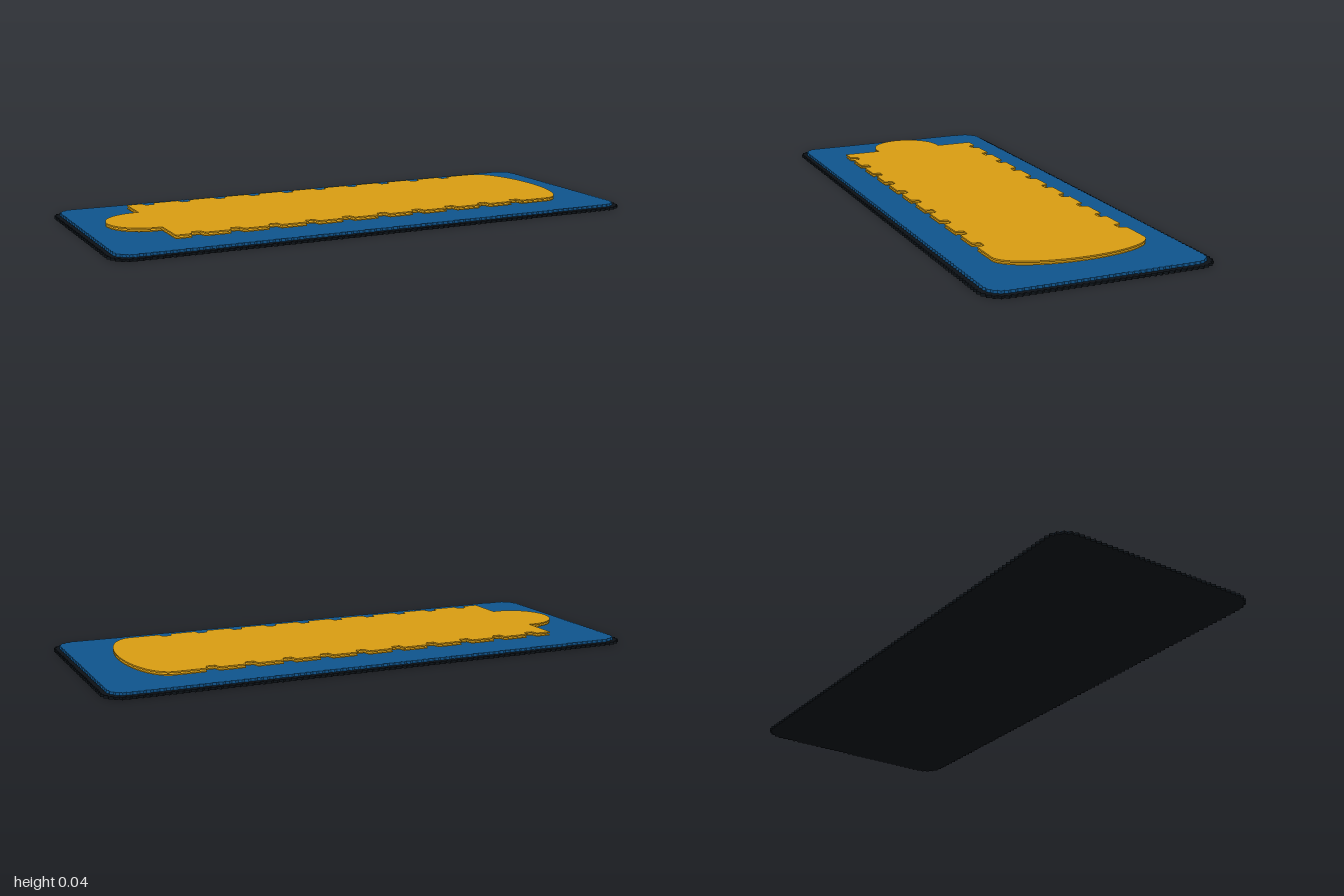
import * as THREE from 'three';

// Flat outline in x/z raised into a sheet between two heights
function sheet(name, shape, bottom, top, color) {
  const geometry = new THREE.ExtrudeGeometry(shape, {
    depth: top - bottom, bevelEnabled: false, curveSegments: 32,
  });
  geometry.rotateX(-Math.PI / 2);
  geometry.translate(0, bottom, 0);
  const mesh = new THREE.Mesh(geometry, new THREE.MeshStandardMaterial({ color }));
  mesh.name = name;
  return mesh;
}

// Rounded rectangle whose rim ripples like a stitched edge
function rippledRectangle(halfX, halfZ, radius, ripple, waves) {
  const x = halfX - ripple, z = halfZ - ripple, r = radius;
  const base = new THREE.Shape();
  base.absarc(x - r, z - r, r, 0, Math.PI / 2);
  base.absarc(-x + r, z - r, r, Math.PI / 2, Math.PI);
  base.absarc(-x + r, -z + r, r, Math.PI, Math.PI * 1.5);
  base.absarc(x - r, -z + r, r, Math.PI * 1.5, Math.PI * 2);
  base.closePath();
  const count = waves * 4;
  const points = [];
  for (let i = 0; i < count; i++) {
    const u = i / count;
    const p = base.getPointAt(u), t = base.getTangentAt(u);
    const d = ripple * Math.sin(u * waves * Math.PI * 2);
    points.push(new THREE.Vector2(p.x + t.y * d, p.y - t.x * d));
  }
  return new THREE.Shape(points);
}

// Long body with a notched pair of sides, a round head and a bowed tail
function figureOutline() {
  const half = 0.278, depth = 0.028;
  const notches = Array.from({ length: 10 }, (_, i) => -0.665 + i * 0.14);
  const s = new THREE.Shape();
  s.moveTo(-0.745, -half);
  for (const x of notches) {
    s.lineTo(x - 0.023, -half);
    s.lineTo(x - 0.016, -half + depth);
    s.lineTo(x + 0.016, -half + depth);
    s.lineTo(x + 0.023, -half);
  }
  s.lineTo(0.73, -half);
  s.absellipse(0.73, 0, 0.115, half, -Math.PI / 2, Math.PI / 2, false);
  for (const x of notches.reverse()) {
    s.lineTo(x + 0.023, half);
    s.lineTo(x + 0.016, half - depth);
    s.lineTo(x - 0.016, half - depth);
    s.lineTo(x - 0.023, half);
  }
  s.lineTo(-0.745, half);
  s.lineTo(-0.745, 0.134);
  s.absellipse(-0.765, 0, 0.135, 0.135, Math.PI / 2, Math.PI * 1.5, false);
  s.lineTo(-0.745, -0.134);
  s.closePath();
  return s;
}

export function createModel() {
  const model = new THREE.Group();
  model.name = 'layeredPatch';

  // Backing and coloured field
  model.add(sheet('backing', rippledRectangle(1, 0.415, 0.075, 0.005, 250), 0, 0.009, 0x0c1116));
  model.add(sheet('field', rippledRectangle(0.98, 0.395, 0.06, 0.003, 240), 0.0095, 0.019, 0x0f548c));

  // Two thin raised sheets of the same figure
  const figure = figureOutline();
  model.add(sheet('lowerFigure', figure, 0.027, 0.031, 0xd79c12));
  model.add(sheet('upperFigure', figure, 0.036, 0.041, 0xd79c12));
  return model;
}
